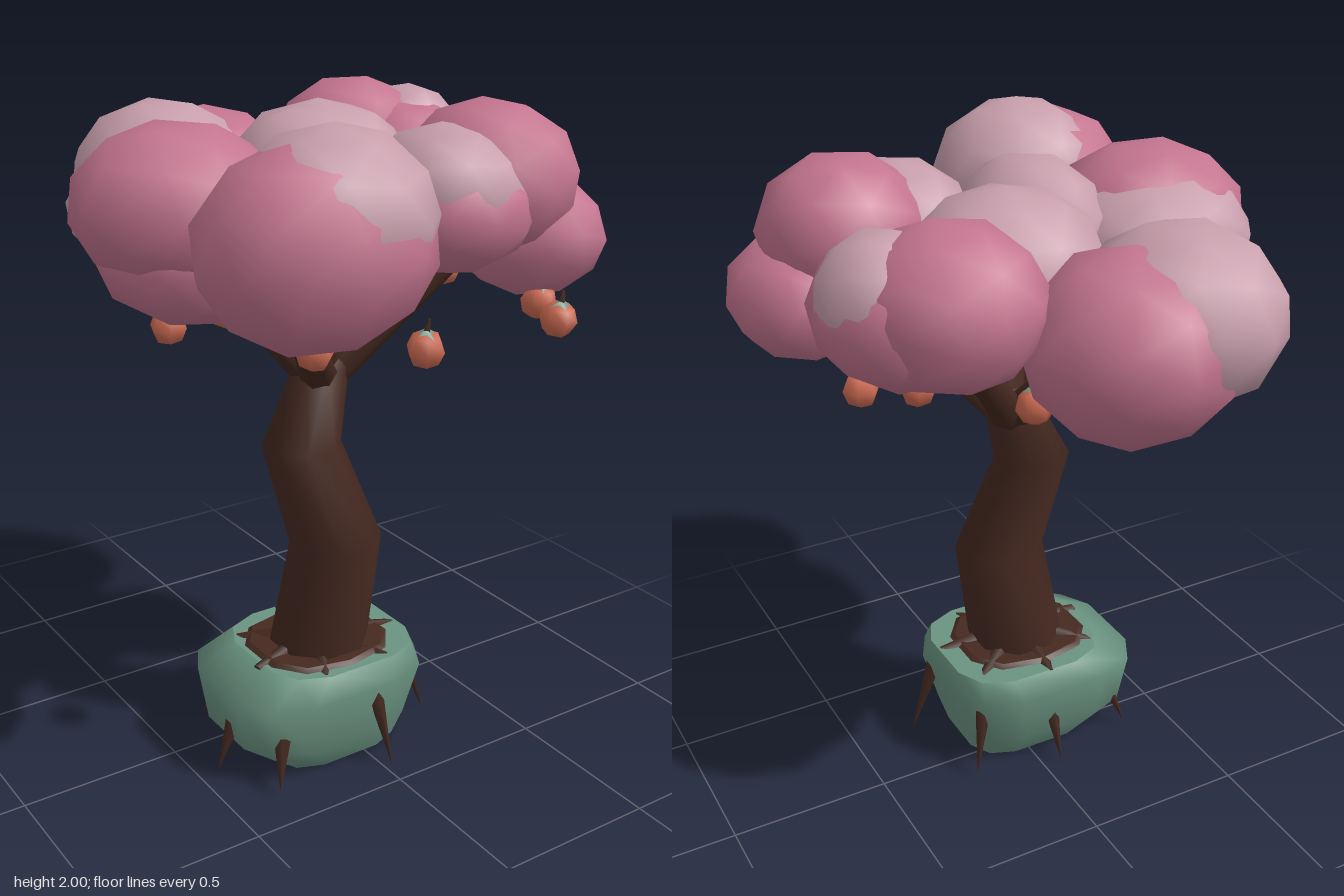
import * as THREE from 'three';

const mat = (name, color, side = THREE.FrontSide) => {
  const m = new THREE.MeshStandardMaterial({ color, side });
  m.name = name;
  return m;
};

// Smooth skin over cross-sections, closed by a lid on the last ring
function loft(rings) {
  const n = rings[0].length, pos = rings.flat(2), idx = [];
  for (let r = 0; r < rings.length - 1; r++) {
    for (let i = 0; i < n; i++) {
      const a = r * n + i, b = r * n + (i + 1) % n;
      idx.push(a, b, a + n, b, b + n, a + n);
    }
  }
  const base = pos.length / 3;
  pos.push(...rings[rings.length - 1].flat());
  for (let i = 1; i < n - 1; i++) idx.push(base, base + i, base + i + 1);
  const g = new THREE.BufferGeometry();
  g.setAttribute('position', new THREE.Float32BufferAttribute(pos, 3));
  g.setIndex(idx);
  g.computeVertexNormals();
  return g;
}

// Horizontal ring; power below 1 squares it off
function ring(x, y, z, rx, rz, n, power = 1) {
  const squash = v => Math.sign(v) * Math.pow(Math.abs(v), power);
  return Array.from({ length: n }, (_, i) => {
    const a = -(i + 0.5) / n * Math.PI * 2;
    return [x + rx * squash(Math.cos(a)), y, z + rz * squash(Math.sin(a))];
  });
}

export function createModel() {
  const tree = new THREE.Group();
  tree.name = 'tree';
  const pink = mat('deep pink blossom', 0xc4758f);
  const pale = mat('pale pink blossom', 0xc89fac);
  const bark = mat('bark', 0x452920);
  const green = mat('base and leaf green', 0x6b9482, THREE.DoubleSide);
  const orange = mat('fruit orange', 0xcc6a52);

  const add = (name, geometry, material, parent = tree) => {
    const m = new THREE.Mesh(geometry, material);
    m.name = name;
    parent.add(m);
    return m;
  };
  const up = new THREE.Vector3(0, 1, 0);
  const rod = (name, from, to, r0, r1, sides, parent) => {
    const a = new THREE.Vector3(...from), b = new THREE.Vector3(...to);
    const d = b.clone().sub(a);
    const m = add(name, new THREE.CylinderGeometry(r1, r0, d.length(), sides), bark, parent);
    m.position.copy(a).addScaledVector(d, 0.5);
    m.quaternion.setFromUnitVectors(up, d.normalize());
  };

  // Rounded, slightly squared base, hollow underneath
  const baseRings = [
    [-0.05, 0.005, 0.125, 0.22, 0.19], [-0.095, 0.1, 0.12, 0.295, 0.24],
    [-0.085, 0.27, 0.12, 0.33, 0.275], [-0.035, 0.335, 0.12, 0.255, 0.235],
  ].map(([x, y, z, rx, rz]) => ring(x, y, z, rx, rz, 12, 0.6));
  add('base', loft(baseRings), green);

  // Earth and surface roots around the trunk
  const soil = [[0.336, 0.2], [0.347, 0.185]].map(([y, r]) => ring(-0.06, y, 0.13, r + 0.02, r, 10, 0.8));
  add('soil', loft(soil), bark);
  for (let i = 0; i < 7; i++) {
    const a = i / 7 * Math.PI * 2 + 0.2;
    rod('surfaceRoot', [-0.06 + 0.12 * Math.cos(a), 0.338, 0.13 + 0.11 * Math.sin(a)],
      [-0.05 + 0.26 * Math.cos(a), 0.32, 0.12 + 0.23 * Math.sin(a)], 0.03, 0.018, 5);
  }

  // Pointed root tips breaking out of the base
  [
    [[0, 0.24, 0.36], [0.02, 0.015, 0.43]],
    [[-0.305, 0.16, 0.32], [-0.35, 0.025, 0.38]],
    [[0.215, 0.26, 0.2], [0.3, 0.01, 0.21]],
    [[0.17, 0.22, -0.06], [0.22, 0.03, -0.12]],
    [[-0.06, 0.18, -0.1], [-0.06, 0.015, -0.175]],
    [[-0.29, 0.18, -0.05], [-0.34, 0.03, -0.11]],
    [[-0.37, 0.16, 0.15], [-0.435, 0.015, 0.16]],
  ].forEach(([a, b]) => rod('rootTip', a, b, 0.027, 0.001, 5));

  // Bent trunk
  const trunkRings = [
    [-0.055, 0.336, 0.135, 0.155], [-0.01, 0.68, 0.16, 0.142],
    [-0.11, 1.0, 0.125, 0.119], [-0.02, 1.22, 0.095, 0.084], [-0.01, 1.28, 0.09, 0.05],
  ].map(([x, y, z, r]) => ring(x, y, z, r, r, 8));
  add('trunk', loft(trunkRings), bark);

  // Branches
  [
    [-0.33, 1.5, 0.45], [0.36, 1.57, 0.28], [-0.08, 1.52, -0.28],
    [0.26, 1.52, -0.18], [-0.32, 1.5, 0.04], [-0.06, 1.53, 0.2],
  ].forEach(end => rod('branch', [-0.02, 1.17, 0.09], end, 0.06, 0.034, 7));

  // Blossom clusters: material, centre, radii
  const canopy = new THREE.Group();
  canopy.name = 'canopy';
  tree.add(canopy);
  [
    [pink, -0.05, 1.625, -0.52, 0.3, 0.27, 0.3],     // back
    [pale, -0.2, 1.68, -0.51, 0.285, 0.25, 0.305],
    [pink, 0.38, 1.75, -0.33, 0.26, 0.225, 0.27],    // back right
    [pink, 0.47, 1.72, -0.23, 0.24, 0.2, 0.29],
    [pale, 0.525, 1.77, -0.25, 0.18, 0.18, 0.19],
    [pink, -0.46, 1.74, 0.06, 0.3, 0.225, 0.29],     // left
    [pink, -0.38, 1.6, 0.05, 0.31, 0.2, 0.3],
    [pale, -0.42, 1.71, -0.04, 0.3, 0.2, 0.28],
    [pale, -0.09, 1.75, 0.1, 0.215, 0.22, 0.27],     // middle
    [pale, 0.1, 1.73, -0.1, 0.29, 0.225, 0.27],
    [pink, 0.03, 1.62, 0.02, 0.32, 0.2, 0.32],
    [pink, -0.335, 1.71, 0.54, 0.335, 0.275, 0.275], // front left
    [pale, -0.285, 1.775, 0.54, 0.275, 0.235, 0.262],
    [pink, 0.4, 1.76, 0.31, 0.255, 0.225, 0.27],     // front right
    [pink, 0.22, 1.7, 0.35, 0.24, 0.18, 0.26],
    [pale, 0.22, 1.75, 0.34, 0.22, 0.185, 0.25],
    [pink, 0.54, 1.59, 0.32, 0.215, 0.185, 0.26],
  ].forEach(([m, x, y, z, rx, ry, rz], i) => {
    const g = new THREE.IcosahedronGeometry(1, 1);
    g.rotateX(i * 0.7);
    g.rotateY(i * 1.9);
    const puff = add('blossom', g, m, canopy);
    puff.position.set(x, y, z);
    puff.scale.set(rx, ry, rz);
  });

  // Hanging fruit with stem and leaf cap
  [
    [-0.04, 1.41, 0.61], [0.43, 1.41, 0.6], [0.5, 1.41, 0.44], [-0.28, 1.4, 0.45],
    [0.5, 1.41, 0], [0.36, 1.41, -0.07], [0.17, 1.44, 0.16], [0.15, 1.43, -0.36],
    [-0.28, 1.4, 0], [-0.49, 1.4, 0.04],
  ].forEach(([x, y, z], i) => {
    const fruit = new THREE.Group();
    fruit.name = 'fruit';
    fruit.position.set(x, y, z);
    fruit.rotation.set(0.15, i * 1.3, 0.1);
    tree.add(fruit);
    add('fruitBody', new THREE.SphereGeometry(0.054, 6, 4), orange, fruit);
    add('fruitLeaf', new THREE.ConeGeometry(0.034, 0.025, 4), green, fruit).position.y = 0.05;
    rod('fruitStem', [0, 0.045, 0], [0.008, 0.085, 0], 0.013, 0.005, 4, fruit);
  });

  return tree;
}
